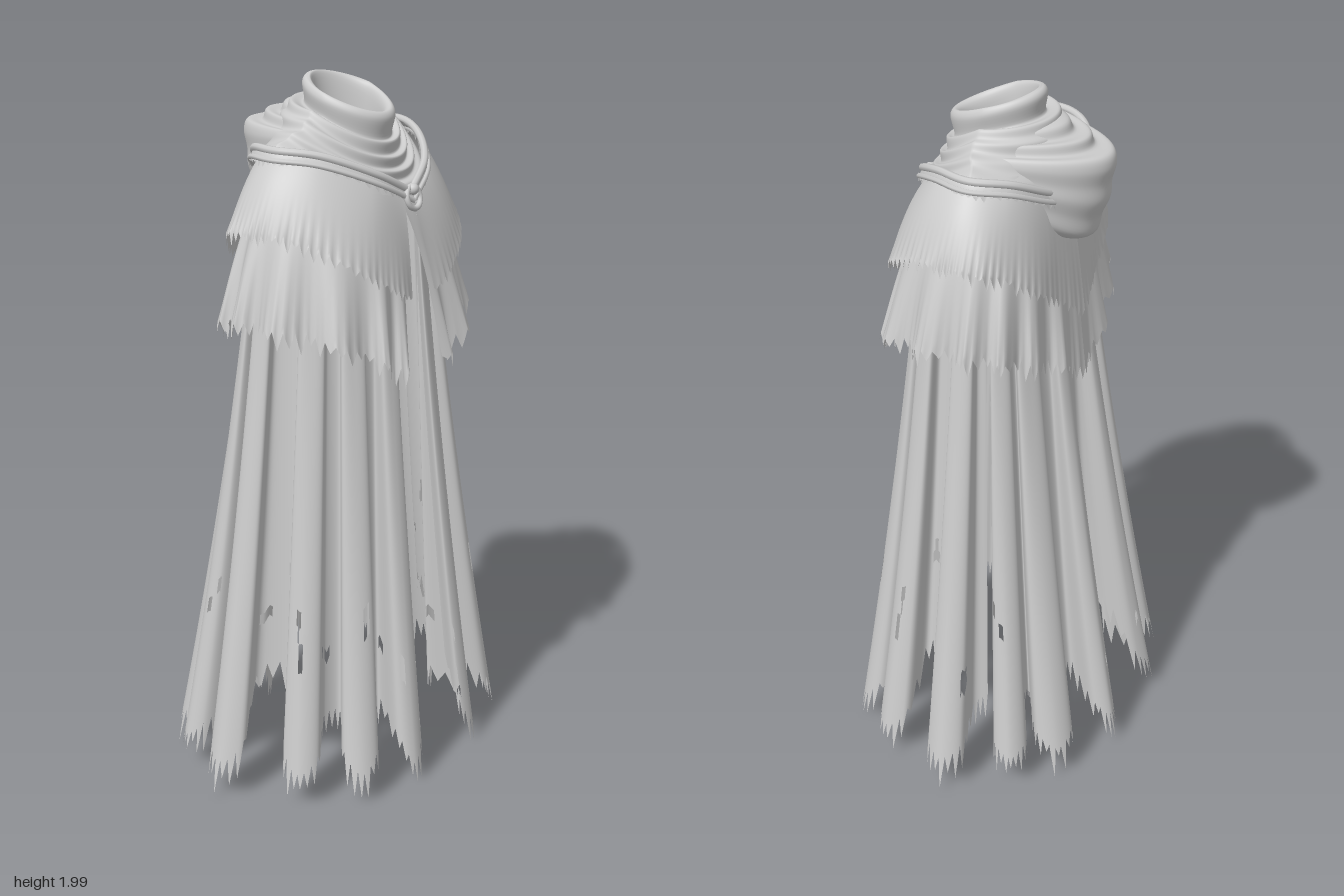
import * as THREE from 'three';
import { mergeVertices } from 'three/addons/utils/BufferGeometryUtils.js';

const cloth = new THREE.MeshStandardMaterial({ color: 0xcccccc, side: THREE.DoubleSide, roughness: 0.9 });
const V = (x, y, z) => new THREE.Vector3(x, y, z);
const curve = (pts) => new THREE.CatmullRomCurve3(pts.map((p) => V(...p)), false, 'centripetal');

function seeded(seed) {
  let s = seed;
  return () => (s = (s * 16807) % 2147483647) / 2147483647;
}

// Grid surface from a point rule; cells for which torn() is true are left open
function sheet(nu, nv, point, torn = () => false) {
  const pos = [], idx = [];
  for (let j = 0; j <= nv; j++)
    for (let i = 0; i <= nu; i++) pos.push(...point(i / nu, j / nv).toArray());
  for (let j = 0; j < nv; j++)
    for (let i = 0; i < nu; i++) {
      if (torn((i + 0.5) / nu, (j + 0.5) / nv)) continue;
      const a = j * (nu + 1) + i, b = a + nu + 1;
      idx.push(a, b, a + 1, a + 1, b, b + 1);
    }
  let g = new THREE.BufferGeometry();
  g.setAttribute('position', new THREE.Float32BufferAttribute(pos, 3));
  g.setIndex(idx);
  g = mergeVertices(g, 1e-5);
  g.computeVertexNormals();
  return g;
}

// Ragged edge: triangular teeth of uneven length
function ragged(teeth, depth, seed) {
  const rnd = seeded(seed);
  const len = Array.from({ length: teeth + 1 }, () => depth * (0.25 + 0.75 * rnd()));
  return (u) => {
    const k = u * teeth, i = Math.floor(k);
    return len[i] * (1 - Math.abs((k - i) * 2 - 1)) - depth * 0.4;
  };
}

function add(group, name, geometry, mirror = false) {
  for (const side of mirror ? [1, -1] : [1]) {
    const m = new THREE.Mesh(geometry, cloth);
    m.name = mirror ? name + (side > 0 ? 'Left' : 'Right') : name;
    m.scale.x = side;
    group.add(m);
  }
}

// Hem points of one deep fold: root, side, peak, side, root
function fold([px, pz, w, low, rootA = 0.2, rootB = 0.2]) {
  const l = Math.hypot(px, pz), dx = px / l, dz = pz / l;
  return [[0.15, -0.85, rootA], [0.035, -1, 0.13], [0, 0, low], [0.035, 1, 0.13], [0.15, 0.85, rootB]].map(
    ([back, side, y]) => [px - dx * back + dz * w * side, y, pz - dz * back - dx * w * side]);
}

// Long skirt panel: hem of folds drawn up to a near-elliptical waist
function skirtPanel(hemPts, seed, holeCount) {
  const hem = curve(hemPts);
  const top = curve(hemPts.map(([x, , z]) => {
    const a = Math.atan2(x / 0.55, z / 0.4);
    const k = Math.hypot(x / 0.55, z / 0.4) > 0.9 ? 1 : 0.92;
    return [0.31 * k * Math.sin(a), 1.66, (z > 0 ? 0.23 : 0.15) * k * Math.cos(a)];
  }));
  const teeth = ragged(58, 0.1, seed), rnd = seeded(seed + 5);
  const holes = Array.from({ length: holeCount }, () =>
    [0.05 + 0.9 * rnd(), 0.7 + 0.24 * rnd(), 0.006 + 0.005 * rnd(), 0.01 + 0.02 * rnd()]);
  const drop = (s) => 1 - Math.pow(1 - s, 1.4);
  return sheet(232, 34, (u, s) => {
    const a = top.getPoint(u), b = hem.getPoint(u), d = drop(s);
    const t = d + (teeth(u) / (a.y - b.y)) * d ** 8;
    const p = a.clone().lerp(b, 0.8 * t + 0.2 * t * t);
    p.y = Math.max(0, a.y + (b.y - a.y) * t);
    return p;
  }, (u, s) => holes.some(([hu, ht, du, dt]) => ((u - hu) / du) ** 2 + ((drop(s) - ht) / dt) ** 2 < 1));
}

// Half of a shoulder layer, bulging from neckline to ragged hem
function capeHalf(neck, hemPts, { teeth, depth, pleats, amp, seed, nv = 22 }) {
  const A = curve(neck), C = curve(hemPts), jag = ragged(teeth, depth, seed);
  return sheet(teeth * 4, nv, (u, t) => {
    const a = A.getPoint(u), c = C.getPoint(u);
    const b = V(a.x * 0.4 + c.x * 0.6, a.y * 0.7 + c.y * 0.3, a.z * 0.4 + c.z * 0.6);
    const p = a.multiplyScalar((1 - t) ** 2).addScaledVector(b, 2 * t * (1 - t)).addScaledVector(c, t * t);
    const k = amp * t * t * Math.sin(u * pleats * Math.PI * 2 + 1.2 * Math.sin(u * 9)) * Math.min(1, (1 - u) * 8);
    const r = Math.hypot(p.x, p.z) || 1;
    p.x += (k * p.x) / r;
    p.z += (k * p.z) / r;
    p.y -= jag(u) * t ** 8;
    return p;
  });
}

// Draped loops: each row is [halfWidth, sideZ, sideY, frontZ, frontY, backZ, backY, pointedness]
function drape(rows, nu, nv, from, to) {
  const path = rows[0].map((_, d) => new THREE.SplineCurve(rows.map((r, i) => new THREE.Vector2(i, r[d]))));
  return sheet(nu, nv, (u, t) => {
    const [w, sz, sy, fz, fy, bz, by, q] = path.map((c) => c.getPoint(t).y);
    const a = from + (to - from) * u, s = Math.sin(a), front = Math.cos(a) > 0;
    const b = Math.pow(Math.max(0, 1 - s * s), q);
    return V(w * s, sy + b * ((front ? fy : by) - sy), sz + b * ((front ? fz : bz) - sz));
  });
}

export function createModel() {
  const model = new THREE.Group();
  model.name = 'tatteredCloak';

  // Long skirt: front panels and back panels, open in front and slit behind each arm
  const frontHem = [
    [0.13, 0.25, 0.31],
    ...fold([0.158, 0.395, 0.04, 0.04]).slice(1),
    ...fold([0.35, 0.34, 0.05, 0.07]),
    ...fold([0.475, 0.205, 0.05, 0.08, 0.2, 0.34]),
    ...fold([0.555, -0.02, 0.052, 0.09, 0.34, 0.2]),
    [0.375, 0.22, -0.09],
  ];
  const backHem = [
    [0.27, 0.22, -0.07],
    ...fold([0.47, -0.205, 0.045, 0.09]),
    ...fold([0.36, -0.31, 0.054, 0.08]),
    ...fold([0.15, -0.395, 0.037, 0.09, 0.22, 0.34]),
    [0.045, 0.16, -0.245],
    [0, 0.04, -0.25],
  ];
  add(model, 'frontSkirt', skirtPanel(frontHem, 71, 12), true);
  add(model, 'backSkirt', skirtPanel(backHem, 913, 6), true);

  // Two shoulder layers
  const neck = [[0.012, 1.69, 0.235], [0.12, 1.75, 0.2], [0.23, 1.82, 0.1], [0.25, 1.84, 0],
    [0.2, 1.83, -0.08], [0.1, 1.82, -0.13], [0, 1.82, -0.14]];
  const upperHem = [[0.055, 1.41, 0.295], [0.22, 1.5, 0.28], [0.35, 1.6, 0.14], [0.405, 1.62, 0],
    [0.345, 1.59, -0.12], [0.18, 1.48, -0.19], [0, 1.36, -0.215]];
  const lowerHem = [[0.085, 1.2, 0.305], [0.22, 1.27, 0.295], [0.355, 1.34, 0.17], [0.4, 1.36, 0],
    [0.35, 1.34, -0.13], [0.18, 1.27, -0.2], [0, 1.17, -0.22]];
  const lowerNeck = neck.map(([x, y, z]) => [x * 0.92, y - 0.03, z * 0.92]);
  add(model, 'lowerCape', capeHalf(lowerNeck, lowerHem,
    { teeth: 40, depth: 0.06, pleats: 8, amp: 0.02, seed: 37 }), true);
  add(model, 'upperCape', capeHalf(neck, upperHem,
    { teeth: 44, depth: 0.04, pleats: 4, amp: 0.007, seed: 55 }), true);

  // Trim band around the shoulders, with rolled edges
  const band = [[0, 1.705, 0.25], [0.12, 1.77, 0.215], [0.23, 1.825, 0.11], [0.28, 1.835, 0],
    [0.235, 1.825, -0.1], [0.12, 1.77, -0.17], [0, 1.74, -0.19]];
  const bandLow = band.map(([x, y, z]) => [x * 1.07, y - 0.038, z * 1.05]);
  add(model, 'trimBand', capeHalf(band, bandLow,
    { teeth: 34, depth: 0.018, pleats: 0, amp: 0, seed: 12, nv: 4 }), true);
  add(model, 'trimRoll', new THREE.TubeGeometry(curve(band), 60, 0.011, 8), true);
  add(model, 'trimStitch', new THREE.TubeGeometry(
    curve(band.map(([x, y, z]) => [x * 1.05, y - 0.024, z * 1.04])), 60, 0.008, 6), true);

  // Collar and cowl wound in soft rolls around the neck
  add(model, 'cowl', drape([
    [0.085, 0.03, 1.80, 0.12, 1.78, -0.04, 1.82, 0.5],
    [0.090, 0.04, 1.93, 0.14, 1.89, -0.06, 1.98, 0.6],
    [0.104, 0.04, 1.965, 0.165, 1.915, -0.075, 2.0, 0.6],
    [0.117, 0.04, 1.945, 0.18, 1.895, -0.09, 1.985, 0.58],
    [0.112, 0.04, 1.90, 0.168, 1.84, -0.085, 1.93, 0.55],
    [0.150, 0.03, 1.925, 0.188, 1.835, -0.12, 1.935, 0.6],
    [0.165, 0.03, 1.905, 0.184, 1.80, -0.13, 1.91, 0.6],
    [0.185, 0.03, 1.90, 0.205, 1.795, -0.15, 1.89, 0.65],
    [0.198, 0.03, 1.88, 0.200, 1.765, -0.15, 1.86, 0.68],
    [0.225, 0.02, 1.875, 0.222, 1.76, -0.16, 1.84, 0.7],
    [0.238, 0.01, 1.86, 0.22, 1.735, -0.17, 1.81, 0.7],
    [0.265, 0.0, 1.85, 0.24, 1.725, -0.18, 1.78, 0.7],
    [0.285, 0.0, 1.83, 0.248, 1.70, -0.19, 1.74, 0.7],
  ], 88, 72, 0, Math.PI * 2));

  // Lowered hood sagging in pointed loops down the back
  const hoodRows = [
    [0.110, 0.03, 1.90, -0.090, 1.925],
    [0.145, 0.05, 1.905, -0.150, 1.92],
    [0.155, 0.04, 1.89, -0.170, 1.89],
    [0.175, 0.05, 1.89, -0.215, 1.89],
    [0.182, 0.04, 1.87, -0.230, 1.86],
    [0.198, 0.04, 1.87, -0.280, 1.855],
    [0.205, 0.03, 1.855, -0.292, 1.82],
    [0.206, 0.03, 1.84, -0.280, 1.77],
    [0.210, 0.02, 1.83, -0.276, 1.72],
    [0.206, 0.02, 1.815, -0.255, 1.67],
    [0.204, 0.01, 1.80, -0.238, 1.615],
    [0.190, 0.0, 1.78, -0.18, 1.605],
    [0.170, 0.0, 1.78, -0.13, 1.67],
  ].map(([w, sz, sy, bz, by]) => [w, sz, sy, sz, sy, bz, by, 0.76]);
  add(model, 'hood', drape(hoodRows, 64, 72, Math.PI / 2, Math.PI * 1.5));

  // Clasp ring with a round stud
  const clasp = new THREE.Group();
  clasp.name = 'clasp';
  add(clasp, 'claspRing', new THREE.TorusGeometry(0.031, 0.008, 10, 28));
  add(clasp, 'claspStud', new THREE.SphereGeometry(0.016, 16, 12).translate(0, 0.022, 0.004));
  clasp.position.set(0, 1.69, 0.258);
  clasp.rotation.x = -0.25;
  model.add(clasp);

  return model;
}
